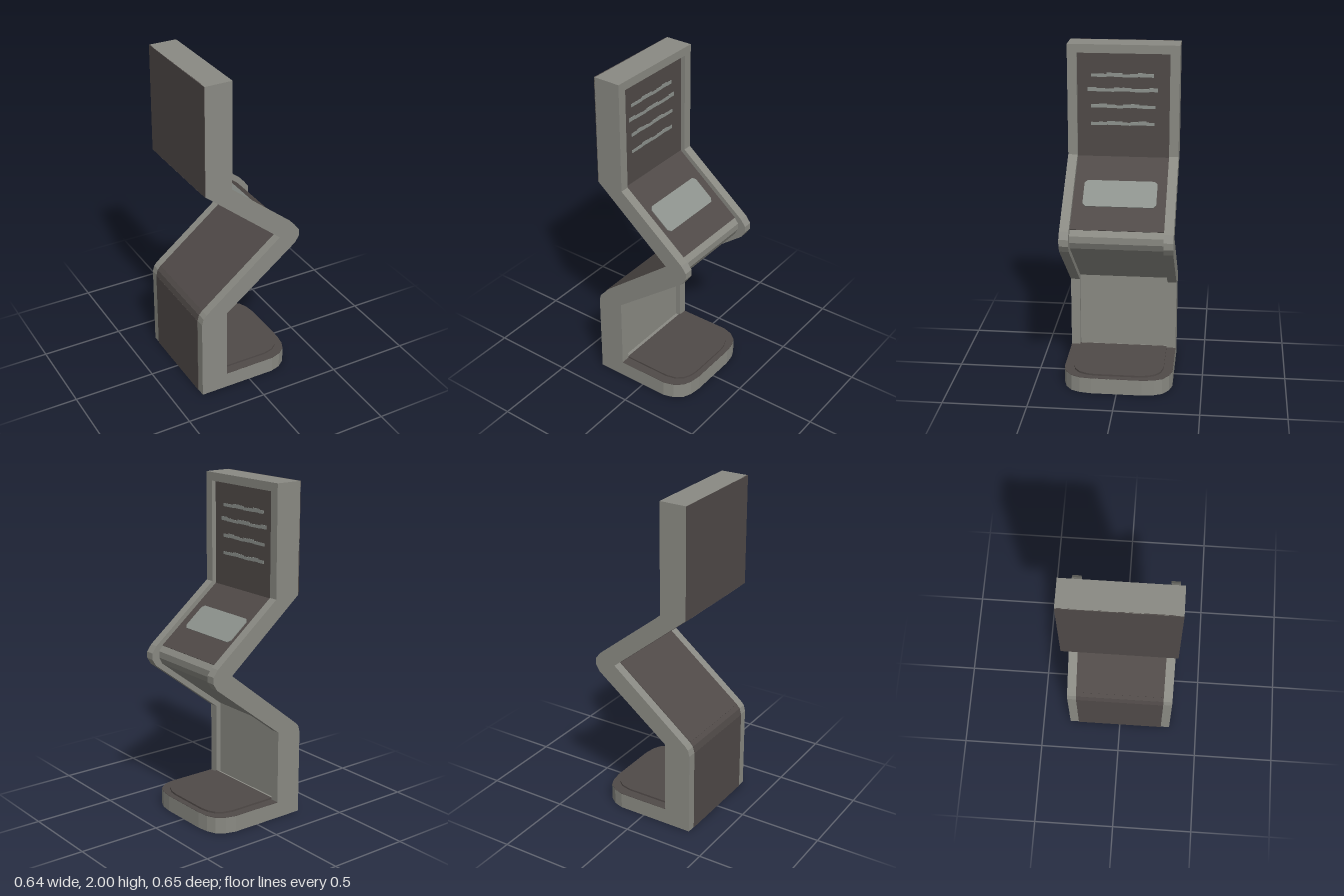
import * as THREE from 'three';

const mat = (name, color) => Object.assign(new THREE.MeshStandardMaterial({ color }), { name });

export function createModel() {
  const grey = mat('stone grey', 0x8a8a83);
  const brown = mat('dark brown', 0x504a48);
  const pale = mat('pale grey', 0x8d928d);
  const group = new THREE.Group();

  const add = (name, geometry, material) => {
    const mesh = new THREE.Mesh(geometry, material);
    mesh.name = name;
    group.add(mesh);
    return mesh;
  };
  const shapeOf = (points) => new THREE.Shape(points.map(([x, y]) => new THREE.Vector2(x, y)));
  const extrude = (points, depth) =>
    new THREE.ExtrudeGeometry(shapeOf(points), { depth, bevelEnabled: false });
  // Flat slab from a plan outline, standing on its own y = 0
  const slab = (points, height) => extrude(points, height).rotateX(-Math.PI / 2);
  // Thin plate laid along a line of the side profile
  const plate = (name, [x1, y1], [x2, y2], halfWidth, material) => {
    const mesh = add(name, new THREE.BoxGeometry(Math.hypot(x2 - x1, y2 - y1), 0.006, halfWidth * 2), material);
    mesh.position.set((x1 + x2) / 2, (y1 + y2) / 2, 0);
    mesh.rotation.z = Math.atan2(y2 - y1, x2 - x1);
    return mesh;
  };

  const W = 0.325; // half width
  const I = 0.27; // half width between the rails

  // Zigzag side profile: shared back line, separate front lines
  const back = [[-0.29, 2], [-0.29, 1.35], [0.19, 0.955], [-0.29, 0.57], [-0.31, 0.548], [-0.32, 0.51], [-0.32, 0.09]];
  const railFront = [[-0.155, 0.09], [-0.155, 0.54], [0.295, 0.89], [0.32, 0.93], [0.32, 0.97], [0.29, 1.01],
    [-0.125, 1.345], [-0.125, 2]];
  const coreFront = [[-0.185, 0.09], [-0.185, 0.557], [0.25, 0.895], [0.27, 0.935], [0.27, 0.975], [0.245, 1.006],
    [-0.155, 1.33], [-0.155, 2]];

  // Raised side rails and the recessed body between them
  for (const [name, z] of [['frontRail', I], ['backRail', -W]]) {
    add(name, extrude([...back, ...railFront], W - I), grey).position.z = z;
  }
  add('recessedBody', extrude([...back, ...coreFront], I * 2), grey).position.z = -I;
  add('topBar', new THREE.BoxGeometry(0.165, 0.05, I * 2), grey).position.set(-0.2075, 1.975, 0);

  // Brown panels in the recess and on the back
  plate('screenPanel', [-0.155, 1.95], [-0.155, 1.33], I, brown);
  plate('deskPanel', [-0.155, 1.33], [0.245, 1.006], I, brown);
  plate('upperBackPanel', [-0.29, 2], [-0.29, 1.35], W, brown);
  plate('deskBackPanel', [-0.29, 1.35], [0.19, 0.955], I, brown);
  const lower = [...back.slice(2, 6), [-0.32, 0]];
  for (let i = 0; i < lower.length - 1; i++) {
    plate('lowerBackPanel', lower[i], lower[i + 1], I, brown);
  }

  // Pale touch pad with clipped corners on the sloping desk
  const a = 0.09, b = 0.213, c = 0.018;
  const pad = add('touchPad', slab([[-a, -b + c], [-a + c, -b], [a - c, -b], [a, -b + c],
    [a, b - c], [a - c, b], [-a + c, b], [-a, b - c]], 0.005), pale);
  pad.position.set(0.053, 1.1645, 0);
  pad.rotation.z = Math.atan2(-0.324, 0.4);

  // Uneven pale stripes on the screen
  const stripes = [[1.818, -0.175, 0.19], [1.732, -0.2, 0.21], [1.635, -0.185, 0.19], [1.532, -0.18, 0.19]];
  stripes.forEach(([y, z1, z2], row) => {
    const n = 8, step = (z2 - z1) / n;
    for (let i = 0; i < n; i++) {
      const wobble = Math.sin(i * 1.7 + row * 2) * 0.003;
      add('screenStripe', new THREE.BoxGeometry(0.004, 0.02 + wobble, step), pale)
        .position.set(-0.151, y + wobble, z1 + step * (i + 0.5));
    }
  });

  // Rounded foot with a brown top and a raised mat
  const mirror = (half) => [...half, ...half.map(([x, z]) => [x, -z]).reverse()];
  const curve = [[0.16, -W], [0.22, -0.307], [0.268, -0.27], [0.29, -0.22], [0.3, -0.15]];
  add('foot', slab(mirror([[-0.32, -W], ...curve]), 0.098), grey);
  add('footTop', slab(mirror([[-0.155, -W], ...curve]), 0.003), brown).position.y = 0.097;
  add('footMat', slab(mirror([[-0.155, -I], [0.14, -I], [0.2, -0.255], [0.237, -0.225], [0.258, -0.18],
    [0.266, -0.13]]), 0.012), brown).position.y = 0.099;

  return group;
}
